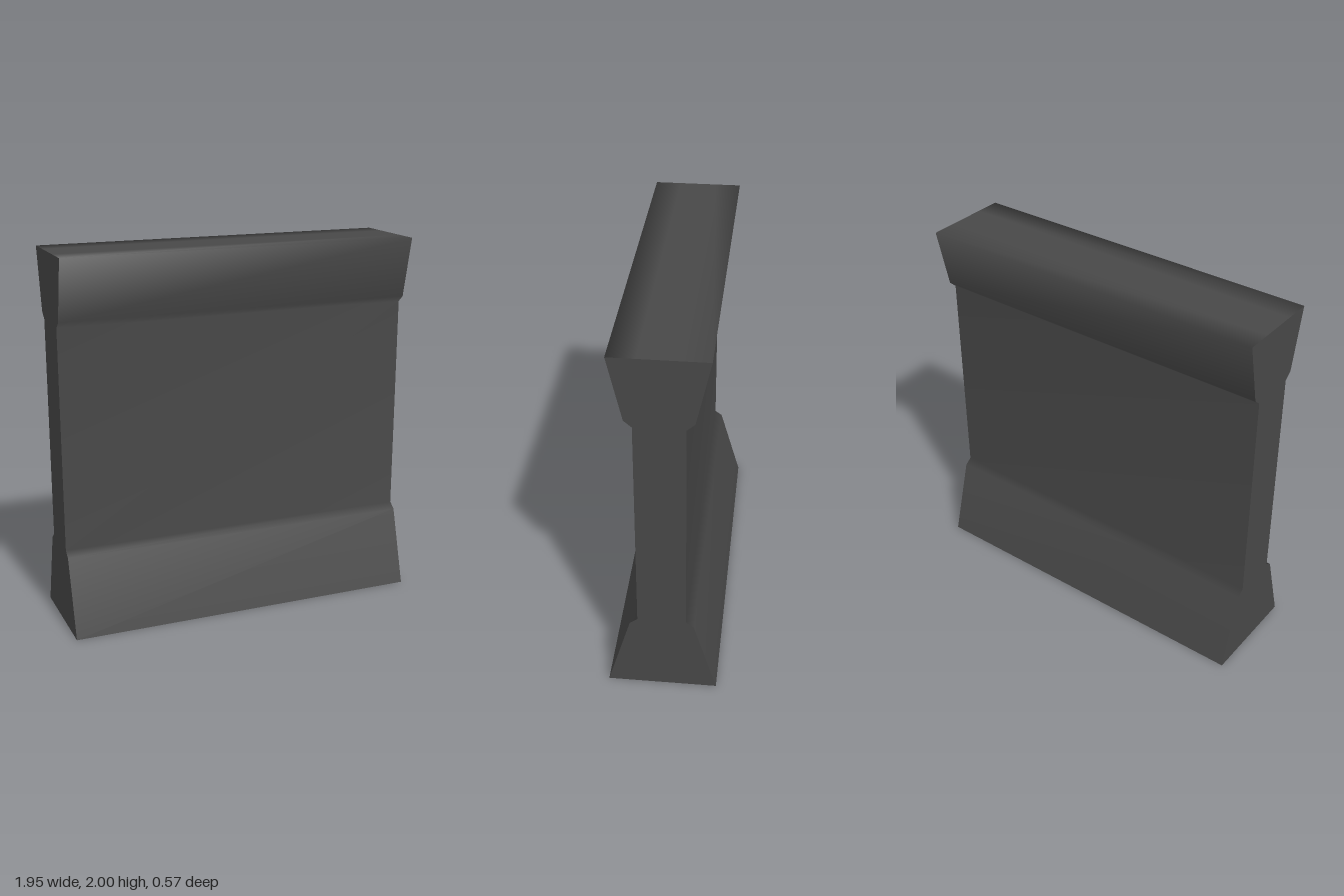
import * as THREE from 'three';

const WIDTH = 1.95;

// Half profile of the wall, bottom to top, ending on the flat top: [half depth, height]
const HALF_PROFILE = [
  [0.285, 0], [0.165, 0.415], [0.125, 0.445],
  [0.125, 1.635], [0.165, 1.67], [0.238, 2], [0.1, 2],
];

export function createModel() {
  const group = new THREE.Group();
  group.name = 'wallSegment';
  const material = new THREE.MeshStandardMaterial({ color: 0x484848 });

  function add(name, geometry) {
    const mesh = new THREE.Mesh(geometry, material);
    mesh.name = name;
    group.add(mesh);
    return mesh;
  }

  // Full outline: up the back, over the top, down the front
  const back = HALF_PROFILE.map(([z, y]) => new THREE.Vector2(-z, y));
  const front = HALF_PROFILE.map(([z, y]) => new THREE.Vector2(z, y)).reverse();
  const outline = [...back, ...front];

  // Flared base, panel and coping: one sheet bent along the outline, shaded smoothly
  const sheet = new THREE.PlaneGeometry(WIDTH, 1, 1, outline.length - 1);
  const position = sheet.attributes.position;
  for (let i = 0; i < position.count; i++) {
    const point = outline[Math.floor(i / 2)];
    position.setY(i, point.y);
    position.setZ(i, point.x);
  }
  sheet.computeVertexNormals();
  add('wallFaces', sheet);

  // Flat ends
  const endGeometry = new THREE.ShapeGeometry(new THREE.Shape(outline));
  for (const [name, side] of [['leftEnd', 1], ['rightEnd', -1]]) {
    const end = add(name, endGeometry);
    end.position.x = side * WIDTH / 2;
    end.rotation.y = side * Math.PI / 2;
  }

  // Underside
  const underside = add('underside', new THREE.PlaneGeometry(WIDTH, 2 * HALF_PROFILE[0][0]));
  underside.rotation.x = Math.PI / 2;

  return group;
}
